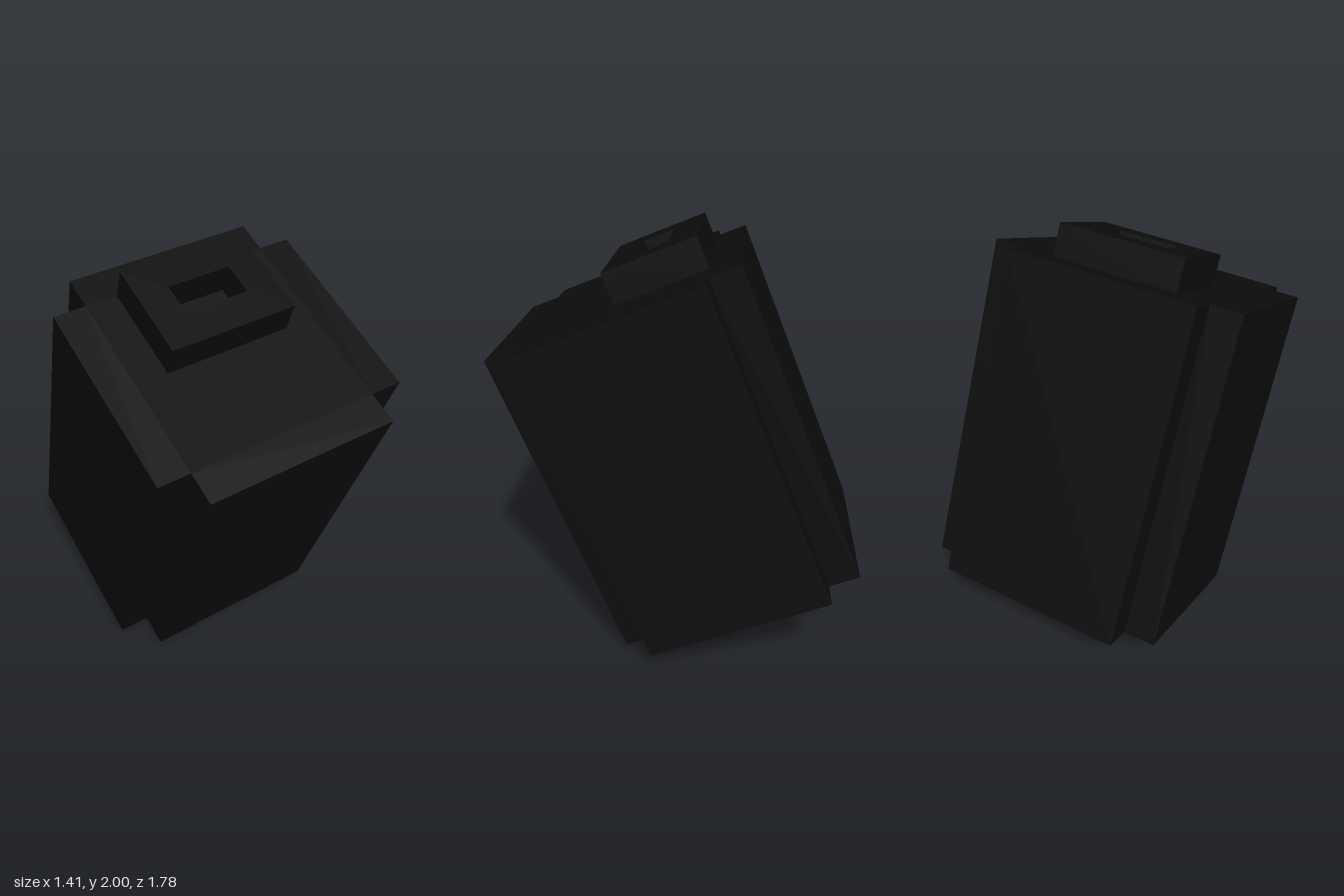
import * as THREE from 'three';

export function createModel() {
  const black = new THREE.MeshStandardMaterial({ color: 0x0d0d0d });
  black.name = 'black';
  const unit = 0.1476; // grid step shared by all parts
  const height = 1.556;

  const outline = (points, Type = THREE.Shape) =>
    new Type(points.map(([x, y]) => new THREE.Vector2(x * unit, y * unit)));
  const rect = (w, d) => [[-w, -d], [w, -d], [w, d], [-w, d]];

  // Upright prism standing on its own y = 0
  const prism = (name, shape, h) => {
    const geometry = new THREE.ExtrudeGeometry(shape, { depth: h, bevelEnabled: false });
    geometry.rotateX(-Math.PI / 2);
    const mesh = new THREE.Mesh(geometry, black);
    mesh.name = name;
    return mesh;
  };

  // Body: square block with a notch down each corner
  const body = prism('body', outline([
    [-3, -4], [3, -4], [3, -3], [4, -3], [4, 3], [3, 3],
    [3, 4], [-3, 4], [-3, 3], [-4, 3], [-4, -3], [-3, -3],
  ]), height);
  body.position.y = -height / 2;

  // Cap: low block set towards the back, with a slot through to the body
  const capShape = outline(rect(2, 1.5));
  capShape.holes.push(outline(rect(1, 0.5).reverse(), THREE.Path));
  const cap = prism('slottedCap', capShape, unit);
  cap.position.set(0, height / 2, -1.5 * unit);

  // Whole block leans forward and to its right
  const block = new THREE.Group();
  block.name = 'leaningBlock';
  block.add(body, cap);
  const up = new THREE.Vector3(-0.096, 0.925, 0.366).normalize();
  const front = new THREE.Vector3(0.99, 0.051, 0.136).cross(up).normalize();
  const side = new THREE.Vector3().crossVectors(up, front);
  block.quaternion.setFromRotationMatrix(new THREE.Matrix4().makeBasis(side, up, front));
  block.position.y = 0.967;

  const model = new THREE.Group();
  model.name = 'model';
  model.add(block);
  return model;
}
